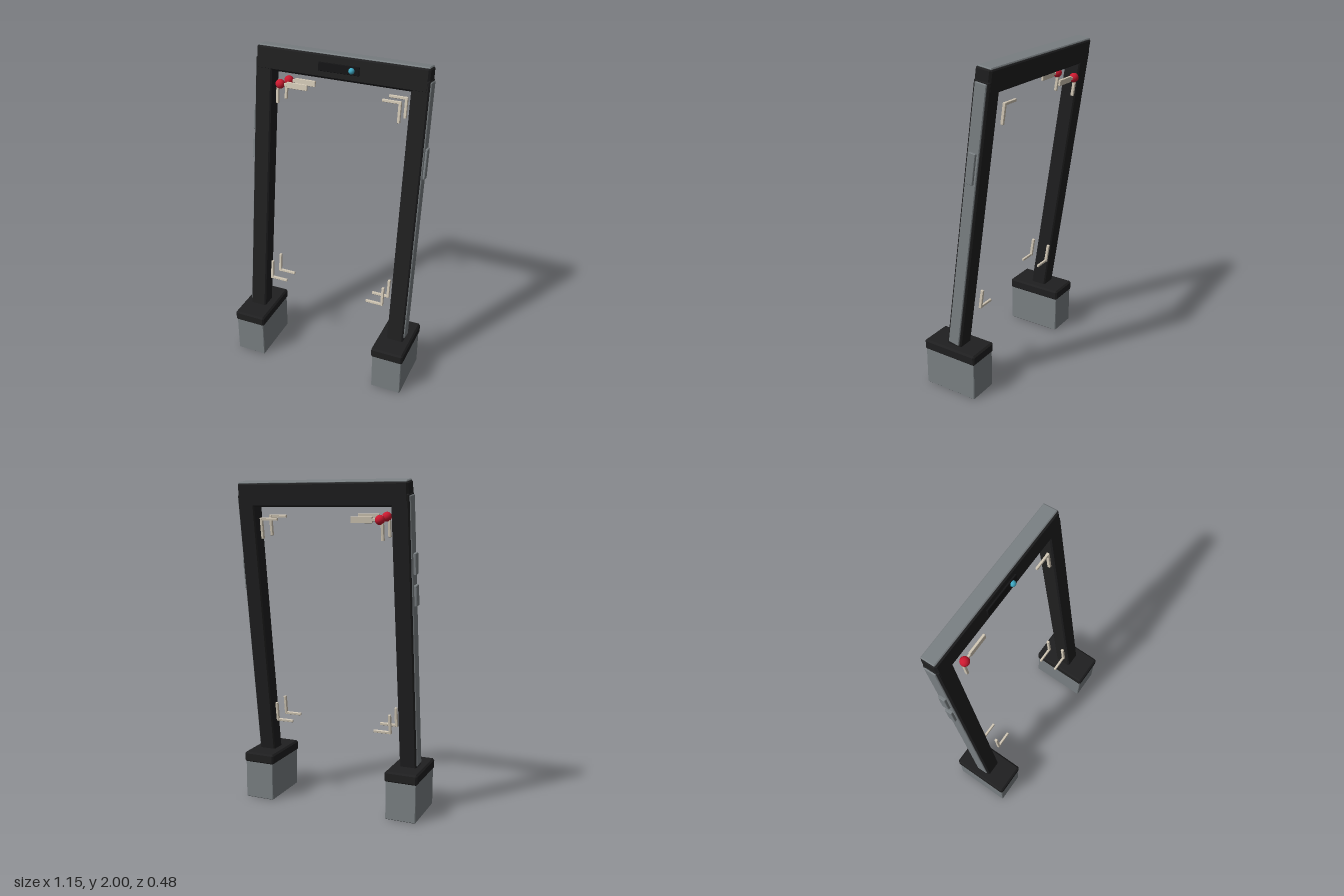
import * as THREE from 'three';
import { ConvexGeometry } from 'three/addons/geometries/ConvexGeometry.js';

const mat = (name, color) => {
  const m = new THREE.MeshStandardMaterial({ color });
  m.name = name;
  return m;
};

// Box with every edge cut by c
function chamferBox(w, h, d, c) {
  const pts = [];
  for (const sx of [-1, 1]) for (const sy of [-1, 1]) for (const sz of [-1, 1]) {
    for (let axis = 0; axis < 3; axis++) {
      const cut = [c, c, c];
      cut[axis] = 0;
      pts.push(new THREE.Vector3(
        sx * (w / 2 - cut[0]), sy * (h / 2 - cut[1]), sz * (d / 2 - cut[2])));
    }
  }
  return new ConvexGeometry(pts);
}

export function createModel() {
  const dark = mat('black casing', 0x1f1f20);
  const black = mat('panel black', 0x141415);
  const grey = mat('grey metal', 0x7a8083);
  const cream = mat('cream marker', 0xd2c8b6);
  const red = mat('red ball', 0xcc1a30);
  const blue = mat('blue lens', 0x3fa9c4);

  const model = new THREE.Group();
  model.name = 'gate';

  const add = (parent, name, geometry, material, x, y, z) => {
    const mesh = new THREE.Mesh(geometry, material);
    mesh.name = name;
    mesh.position.set(x, y, z);
    parent.add(mesh);
    return mesh;
  };
  const box = (parent, name, material, w, h, d, x, y, z, c = 0.002) =>
    add(parent, name, chamferBox(w, h, d, c), material, x, y, z);

  // Footings, upright
  for (const s of [-1, 1]) {
    box(model, 'footing', grey, 0.19, 0.25, 0.352, s * 0.475, 0.125, 0.055, 0.004);
    box(model, 'footingCap', dark, 0.204, 0.066, 0.365, s * 0.475, 0.267, 0.055, 0.01);
  }

  // Frame leaning back; its origin sits on top of the footings
  const frame = new THREE.Group();
  frame.name = 'leaningFrame';
  frame.position.set(0, 0.3, 0.05);
  frame.rotation.x = -THREE.MathUtils.degToRad(8);
  model.add(frame);

  // Legs with grey outer rails
  for (const s of [-1, 1]) {
    box(frame, 'leg', dark, 0.104, 1.66, 0.1, s * 0.479, 0.81, 0, 0.008);
    box(frame, 'sideRail', grey, 0.012, 1.615, 0.074, s * 0.532, 0.82, 0, 0.004);
  }

  // Crossbeam with grey top rail
  box(frame, 'crossbeam', dark, 1.056, 0.142, 0.102, 0, 1.636, 0, 0.012);
  box(frame, 'topRail', grey, 1.045, 0.012, 0.09, 0, 1.705, -0.002, 0.005);

  // Sensor panel and lens on the crossbeam
  box(frame, 'sensorPanel', black, 0.25, 0.05, 0.016, -0.003, 1.634, 0.052);
  add(frame, 'lens', new THREE.SphereGeometry(0.018, 12, 8), blue, 0.078, 1.634, 0.064);

  // Side buttons
  const buttons = [[-0.544, 1.247, 0.122], [-0.544, 1.065, 0.122], [0.541, 1.156, 0.182]];
  for (const [x, y, h] of buttons) box(frame, 'sideButton', grey, 0.02, h, 0.045, x, y, 0, 0.003);

  // Corner markers floating in front of and behind the opening
  for (const z of [-0.058, 0.058]) {
    for (const s of [-1, 1]) for (const [y, dir] of [[0.225, 1], [1.498, -1]]) {
      const corner = new THREE.Group();
      corner.name = 'cornerMarker';
      corner.position.set(s * 0.377, y, z);
      frame.add(corner);
      box(corner, 'markerBar', cream, 0.113, 0.016, 0.014, -s * 0.0495, 0, 0);
      box(corner, 'markerPost', cream, 0.016, 0.124, 0.018, 0, dir * 0.054, 0);
    }
    // Red ball with its paddle
    box(frame, 'paddle', cream, 0.13, 0.036, 0.014, -0.255, 1.498, z);
    add(frame, 'ball', new THREE.SphereGeometry(0.028, 16, 12), red, -0.363, 1.498, z);
  }
  return model;
}
